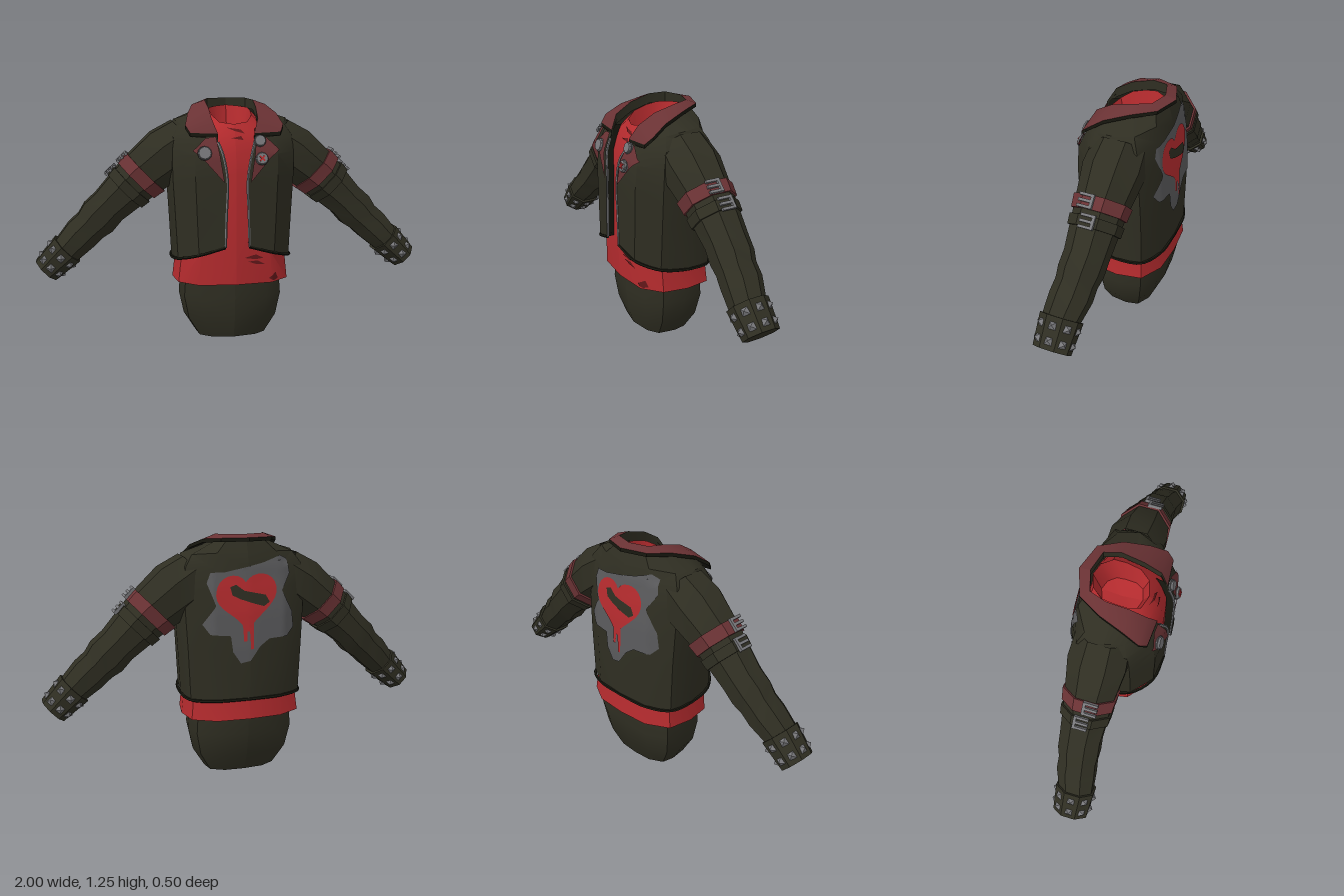
import * as THREE from 'three';
import { toCreasedNormals, mergeGeometries, mergeVertices } from 'three/addons/utils/BufferGeometryUtils.js';

const paint = (name, color) => Object.assign(
  new THREE.MeshStandardMaterial({ color, side: THREE.DoubleSide }), { name });

export function createModel() {
  const leather = paint('dark leather', 0x2f2e22), edging = paint('black edging', 0x17170f);
  const red = paint('red cloth', 0xb52b2e), maroon = paint('maroon trim', 0x6a3234);
  const metal = paint('grey metal', 0x77777a), splash = paint('patch grey', 0x5a5a5c);
  const shade = paint('torn cloth', 0x64181a);
  const model = new THREE.Group();

  // Adds a part, and its reflection across x = 0 when asked
  function add(name, geo, mat, mirror = true) {
    const put = (g, n) => {
      const mesh = new THREE.Mesh(toCreasedNormals(g, 0.6), mat);
      mesh.name = n;
      model.add(mesh);
      return mesh;
    };
    if (mirror) {
      const g = geo.clone().scale(-1, 1, 1);
      g.index.array.reverse();
      put(g, name + 'Right');
    }
    return put(geo, mirror ? name + 'Left' : name);
  }

  // Skin over rows of equally many points
  function skin(rows, closed = false) {
    const n = rows[0].length, index = [];
    for (let r = 0; r < rows.length - 1; r++)
      for (let i = 0; i < (closed ? n : n - 1); i++) {
        const a = r * n + i, b = r * n + (i + 1) % n;
        index.push(a, b, a + n, b, b + n, a + n);
      }
    const g = new THREE.BufferGeometry();
    g.setAttribute('position', new THREE.Float32BufferAttribute(rows.flat(2), 3));
    g.setIndex(index);
    return g;
  }
  const tube = (pts, r) => new THREE.TubeGeometry(
    new THREE.CatmullRomCurve3(pts.map(p => new THREE.Vector3(...p)), false, 'centripetal'), 24, r, 5);

  // Half of a torso cross-section, from the front centre to the back centre
  const half = (y, xo, w, zf, zb) => [[xo, y, zf], [.62 * w, y, zf - .02], [.93 * w, y, zf * .5],
    [w, y, -.03], [.93 * w, y, zb * .68], [.55 * w, y, zb * .95], [0, y, zb]];

  // Lower body
  add('lowerBody', skin([
    half(.4, 0, .26, .16, -.2), half(.25, 0, .272, .165, -.21), half(.13, 0, .247, .15, -.185),
    half(.03, 0, .185, .12, -.14), half(.005, 0, .05, .03, -.06), half(.003, 0, 0, 0.01, -.02)]), leather);

  // Shirt with a hollow neck
  const neck = [[0, 1.14, .12], [.07, 1.15, .1], [.1, 1.18, .05], [.105, 1.2, -.02],
    [.1, 1.21, -.08], [.06, 1.215, -.13], [0, 1.22, -.15]];
  const shirt = add('shirt', skin([
    half(.36, 0, .26, .16, -.2), half(.335, 0, .305, .2, -.235), half(.5, 0, .285, .205, -.215),
    half(.9, 0, .3, .2, -.2), half(1, 0, .28, .185, -.18), half(1.08, 0, .22, .16, -.16), neck,
    neck.map(([x, y, z]) => [x * .75, 1.07, z * .75]), neck.map(() => [0, 1.05, -.01])]), red);

  // Jacket body: the hem rises toward the open front
  const hemY = [.54, .5, .465, .445, .44, .44, .44];
  const hem = half(0, .06, .308, .235, -.233).map(([x, , z], i) => [x, hemY[i], z]);
  const shell = [hem, half(.7, .055, .32, .235, -.236), half(.88, .05, .33, .235, -.228),
    half(1, .07, .33, .225, -.215),
    [[.09, 1.06, .195], [.2, 1.07, .175], [.3, 1.08, .1], [.325, 1.1, -.03], [.3, 1.1, -.14], [.17, 1.1, -.19], [0, 1.1, -.203]],
    [[.095, 1.1, .175], [.19, 1.11, .15], [.26, 1.14, .08], [.29, 1.16, -.01], [.26, 1.16, -.11], [.15, 1.17, -.175], [0, 1.17, -.19]],
    [[.1, 1.12, .16], [.125, 1.16, .13], [.13, 1.19, .08], [.13, 1.21, 0], [.13, 1.22, -.08], [.09, 1.232, -.145], [0, 1.238, -.165]]];
  const jacket = add('jacketBody', skin([hem.map(([x, y, z]) => [x * .93, y + .02, z * .92]), ...shell]), leather);
  const opening = shell.map(r => r[0]);
  add('frontFacing', skin([opening, opening.map(([x, y, z]) => [x + .005, y, z - .04])]), edging);
  add('hemEdging', tube(hem, .008), edging);
  add('zip', tube(opening.slice(0, 5), .006), metal);

  // Collar: maroon top leaf, dark underside and stand
  const inner = [[.09, 1.1, .185], [.115, 1.17, .145], [.12, 1.22, .06], [.125, 1.25, -.05], [.1, 1.256, -.13], [0, 1.256, -.16]];
  const outer = [[.225, 1.105, .175], [.245, 1.14, .14], [.225, 1.19, .06], [.19, 1.228, -.06], [.13, 1.24, -.17], [0, 1.243, -.215]];
  const drop = (row, k) => row.map(([x, y, z]) => [x, y - k, z]);
  add('collarTop', skin([inner, outer]), maroon);
  add('collarUnderside', skin([outer, drop(outer, .018), drop(inner, .028)]), edging);
  add('collarStand', skin([inner, drop(inner, .05)]), leather);
  add('collarPointEdge', skin([[inner[0], outer[0]], drop([inner[0], outer[0]], .018)]), edging);

  // Flat shape laid on a surface: subdivided, then dropped along z
  const caster = new THREE.Raycaster();
  function surfaceZ(target, x, y, side) {
    caster.set(new THREE.Vector3(Math.max(Math.abs(x), .0015), y, side), new THREE.Vector3(0, 0, -side));
    const hit = caster.intersectObject(target)[0];
    return hit ? hit.point.z : side * .2;
  }
  function drape(shape, target, side, lift) {
    const flat = new THREE.ShapeGeometry(shape, 8).toNonIndexed().attributes.position;
    let tris = [];
    for (let i = 0; i < flat.count; i += 3)
      tris.push([0, 1, 2].map(k => [flat.getX(i + k), flat.getY(i + k)]));
    const mid = (a, b) => [(a[0] + b[0]) / 2, (a[1] + b[1]) / 2];
    for (let s = 0; s < 3; s++)
      tris = tris.flatMap(([a, b, c]) => {
        const d = mid(a, b), e = mid(b, c), f = mid(c, a);
        return [[a, d, f], [d, b, e], [f, e, c], [d, e, f]];
      });
    const pos = tris.flatMap(t => (side > 0 ? t : [t[0], t[2], t[1]]))
      .flatMap(([x, y]) => [x, y, surfaceZ(target, x, y, side) + side * lift]);
    const g = new THREE.BufferGeometry();
    g.setAttribute('position', new THREE.Float32BufferAttribute(pos, 3));
    return mergeVertices(g);
  }
  const poly = pts => new THREE.Shape(pts.map(p => new THREE.Vector2(...p)));

  // Lapels and round pins
  add('lapel', drape(poly([[.1, 1.085], [.15, 1.08], [.215, 1.02], [.17, .985], [.065, .865]]), jacket, 1, .009), maroon);
  for (const [x, y, r] of [[-.16, 1.01, .034], [.115, 1.065, .029], [.12, .98, .031]]) {
    const z = surfaceZ(jacket, x, y, 1) + .014, tilt = g => g.rotateX(-.3).translate(x, y, z);
    add('pin', tilt(new THREE.CylinderGeometry(r * .85, r, .02, 12).rotateX(Math.PI / 2)), metal, false);
    add('pinRim', tilt(new THREE.TorusGeometry(r * .9, .005, 5, 12)), splash, false);
    if (y < 1) for (const a of [-1, 1])
      add('pinCross', tilt(new THREE.BoxGeometry(.035, .008, .005).rotateZ(a * .78).translate(0, 0, .012)), red, false);
  }

  // Tears in the shirt
  for (const t of [[[.04, .475], [.1, .49], [.14, .47], [.1, .465]], [[.06, .455], [.11, .458], [.15, .435], [.1, .44]],
    [[.17, .36], [.21, .385], [.225, .35], [.2, .343]], [[-.04, 1.125], [.03, 1.115], [.05, 1.095], [0, 1.108]],
    [[-.02, 1.075], [.03, 1.085], [.04, 1.065]]])
    add('shirtTear', drape(poly(t), shirt, 1, .004), shade, false);

  // Back patch: grey splash with a split, dripping heart
  add('backSplash', drape(poly([[.21, 1.03], [.19, 1.08], [.12, 1.08], [.02, 1.1], [-.08, 1.12], [-.17, 1.15],
    [-.21, 1.13], [-.22, 1.06], [-.17, .98], [-.23, .87], [-.24, .79], [-.2, .75], [-.1, .745], [-.05, .71],
    [0, .64], [.05, .63], [.09, .69], [.1, .77], [.2, .78], [.235, .83], [.17, .92]]), jacket, -1, .006), splash, false);
  const heart = new THREE.Shape();
  heart.moveTo(.02, 1.03);
  heart.bezierCurveTo(.05, 1.09, .17, 1.07, .17, .97);
  heart.bezierCurveTo(.17, .9, .08, .88, .04, .82);
  for (const p of [[.035, .74], [.02, .74], [.018, .79], [.005, .79], [0, .7], [-.015, .7], [-.015, .83]]) heart.lineTo(...p);
  heart.bezierCurveTo(-.06, .88, -.15, .93, -.14, 1);
  heart.bezierCurveTo(-.13, 1.08, -.02, 1.09, .02, 1.03);
  add('backHeart', drape(heart, jacket, -1, .01), red, false);
  add('heartSplit', drape(poly([[.1, 1.01], [.07, 1.02], [.03, .99], [-.08, .965], [-.1, .93], [-.07, .91],
    [-.02, .925], [.05, .95], [.09, .97]]), jacket, -1, .014), leather, false);

  // Sleeves: stations of [x, y, radius across, radius in z, z]
  const path = [[.21, 1.06, .125, .13, -.03], [.31, .99, .14, .14, -.03], [.465, .87, .12, .115, -.03],
    [.625, .72, .095, .1, -.03], [.68, .665, .1, .1, -.025], [.72, .625, .086, .092, -.02],
    [.77, .58, .087, .095, -.015], [.84, .51, .075, .085, 0], [.95, .405, .058, .075, 0]];
  const along = new THREE.Vector3(.72, -.69, 0).normalize(), up = new THREE.Vector3(.69, .72, 0).normalize();
  function onArm(t, a, off, k = 1) {
    const i = Math.min(Math.floor(t), path.length - 2);
    const [x, y, rn, rz, z] = path[i].map((v, j) => THREE.MathUtils.lerp(v, path[i + 1][j], t - i));
    return new THREE.Vector3(x, y, z).addScaledVector(up, Math.cos(a) * (rn + off) * k)
      .add(new THREE.Vector3(0, 0, Math.sin(a) * (rz + off) * k));
  }
  const armRing = (t, off, k = 1 / Math.cos(Math.PI / 8)) => Array.from({ length: 8 },
    (_, i) => onArm(t, (i + .5) * Math.PI / 4, off, k).toArray());
  const band = (t0, t1, off) => skin([armRing(t0, -.01), armRing(t0, off), armRing((t0 + t1) / 2, off),
    armRing(t1, off), armRing(t1, -.01)], true);
  function place(geo, t, a, off) {
    const out = up.clone().multiplyScalar(Math.cos(a)).add(new THREE.Vector3(0, 0, Math.sin(a)));
    const m = new THREE.Matrix4().makeBasis(out.clone().cross(along), out, along);
    return geo.applyMatrix4(m.setPosition(onArm(t, a, off)));
  }
  add('sleeve', skin([...path.map((_, i) => armRing(i, 0)), armRing(8, 0, 0)], true), leather);
  add('armBand', band(1.8, 2.12, .01), maroon);
  add('armStrap', band(2.25, 2.48, .01), leather);
  add('cuff', band(7, 8, .011), leather);

  // Pronged buckles on the outside of the arm
  for (const [t, shift] of [[1.96, -.03], [2.37, 0]]) {
    const bars = [new THREE.BoxGeometry(.014, .016, .068).translate(.03 + shift, 0, 0)];
    for (const z of [-.027, 0, .027])
      bars.push(new THREE.BoxGeometry(.07, .014, .013).translate(shift, 0, z));
    add('buckle', place(mergeGeometries(bars), t, 0, .016), metal);
  }

  // Pyramid studs around the cuff
  const studs = [];
  for (const t of [7.27, 7.73])
    for (let i = 0; i < 8; i++)
      studs.push(place(new THREE.ConeGeometry(.026, .02, 4).rotateY(Math.PI / 4), t, i * Math.PI / 4, .019));
  add('cuffStuds', mergeGeometries(studs), metal);

  return model;
}
